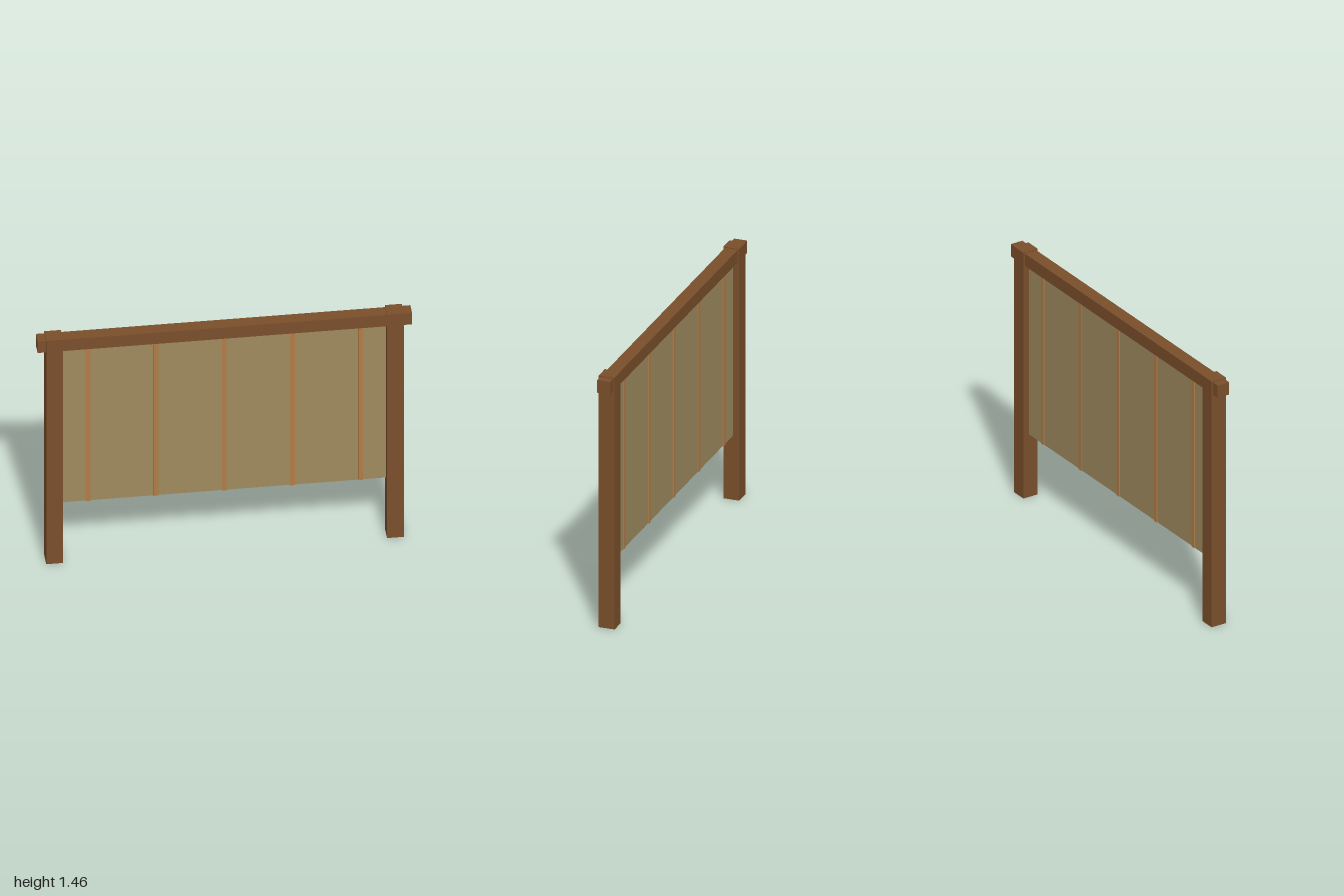
import * as THREE from 'three';

export function createModel() {
  const group = new THREE.Group();
  const wood = new THREE.MeshStandardMaterial({ color: 0x7a4f2b, flatShading: true });
  const cloth = new THREE.MeshStandardMaterial({ color: 0x9e8a5e, flatShading: true });
  const trim = new THREE.MeshStandardMaterial({ color: 0xb07d48, flatShading: true });

  // Box given by its centre x, bottom y and size
  function addBox(name, material, x, bottom, width, height, depth) {
    const mesh = new THREE.Mesh(new THREE.BoxGeometry(width, height, depth), material);
    mesh.name = name;
    mesh.position.set(x, bottom + height / 2, 0);
    group.add(mesh);
  }

  // Upright posts
  addBox('leftPost', wood, 0.91, 0, 0.09, 1.455, 0.09);
  addBox('rightPost', wood, -0.91, 0, 0.09, 1.455, 0.09);

  // Crossbeam, running through both posts
  addBox('crossbeam', wood, 0, 1.375, 2, 0.073, 0.073);

  // Hanging panel between the posts
  addBox('panel', cloth, 0, 0.37, 1.74, 0.995, 0.018);

  // Vertical strips standing proud of both panel faces
  for (let i = -2; i <= 2; i++) {
    addBox(`strip${i + 3}`, trim, i * 0.364, 0.37, 0.025, 0.995, 0.03);
  }

  return group;
}
